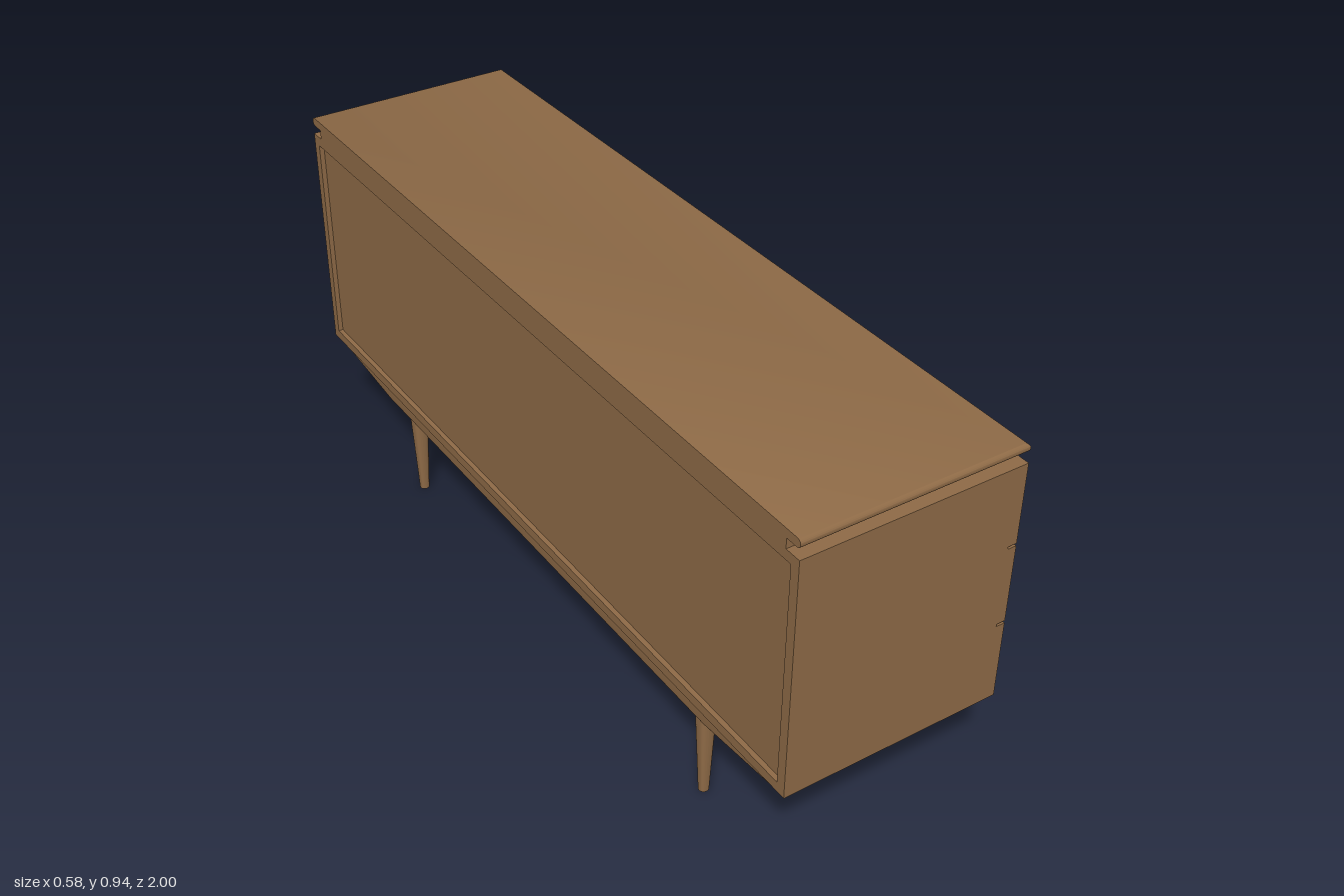
import * as THREE from 'three';
import { toCreasedNormals } from 'three/addons/utils/BufferGeometryUtils.js';

const BACK = -0.29, FRONT = 0.247, BOTTOM = 0.31, TOP = 0.9;

export function createModel() {
  const sideboard = new THREE.Group();
  sideboard.name = 'sideboard';

  const wood = new THREE.MeshStandardMaterial({ color: 0x8f6b47 });
  wood.name = 'walnut';
  const handleWood = new THREE.MeshStandardMaterial({ color: 0x94561f });
  handleWood.name = 'reddish handle wood';

  const add = (name, geometry, material = wood) => {
    const mesh = new THREE.Mesh(geometry, material);
    mesh.name = name;
    sideboard.add(mesh);
    return mesh;
  };
  // Box given by its limits on each axis
  const box = (name, x0, x1, y0, y1, z0, z1) =>
    add(name, new THREE.BoxGeometry(x1 - x0, y1 - y0, z1 - z0))
      .position.set((x0 + x1) / 2, (y0 + y1) / 2, (z0 + z1) / 2);
  const rect = (path, x0, x1, y0, y1) =>
    path.moveTo(x0, y0).lineTo(x1, y0).lineTo(x1, y1).lineTo(x0, y1).closePath();

  // Carcass with a recessed back panel inside a thin frame
  const recess = 0.012, frontThickness = 0.022;
  box('carcass', BACK + recess, FRONT - frontThickness, BOTTOM, TOP, -1, 1);
  const frame = rect(new THREE.Shape(), -1, 1, BOTTOM, TOP);
  frame.holes.push(rect(new THREE.Path(), -0.976, 0.976, BOTTOM + 0.024, TOP - 0.024));
  const frameGeometry = new THREE.ExtrudeGeometry(frame, { depth: recess, bevelEnabled: false });
  frameGeometry.rotateY(Math.PI / 2);
  add('backFrame', frameGeometry).position.x = BACK;

  // Drawer fronts and doors, separated by narrow gaps
  const gap = 0.003, split1 = 0.48, split2 = -0.258;
  const levels = [BOTTOM, 0.508, 0.705, TOP];
  for (let i = 0; i < 3; i++) {
    box('drawerFront', FRONT - frontThickness, FRONT,
      levels[i] + (i > 0 ? gap : 0), levels[i + 1] - (i < 2 ? gap : 0), split1 + gap, 1);
  }
  box('leftDoor', FRONT - frontThickness, FRONT, BOTTOM, TOP, split2 + gap, split1 - gap);
  box('rightDoor', FRONT - frontThickness, FRONT, BOTTOM, TOP, -1, split2 - gap);

  // Set-back riser below the floating top
  box('riser', BACK, 0.21, TOP, 0.926, -0.96, 0.96);

  // Top board: rounded on the front and ends, cut square at the back
  const r = 0.01;
  const slab = rect(new THREE.Shape(), BACK, FRONT - r, -1 + r, 1 - r);
  let top = new THREE.ExtrudeGeometry(slab, {
    depth: 0.001, bevelThickness: r, bevelSize: r, bevelSegments: 5,
  });
  top.rotateX(Math.PI / 2);
  const p = top.attributes.position;
  for (let i = 0; i < p.count; i++) p.setX(i, Math.max(p.getX(i), BACK));
  top.computeVertexNormals();
  add('topBoard', toCreasedNormals(top, 0.6)).position.y = 0.935;

  // Hollow cup pull: half-turned shell, open on its flat side
  const profile = [];
  const arc = (radius, from, to) => {
    for (let i = 0; i <= 10; i++) {
      const a = from + (to - from) * i / 10;
      profile.push(new THREE.Vector2(Math.max(0, radius * Math.cos(a)), radius * Math.sin(a)));
    }
  };
  arc(0.87, Math.PI / 2, 0);
  arc(1, 0, Math.PI / 2);
  let pull = new THREE.LatheGeometry(profile, 32, 0, Math.PI);
  pull.scale(0.043, 0.019, 0.091);
  pull.computeVertexNormals();
  pull = toCreasedNormals(pull, 0.9);
  for (const y of [0.473, 0.67, 0.867]) {
    add('drawerHandle', pull, handleWood).position.set(FRONT, y, 0.738);
  }
  for (const side of [1, -1]) {
    const handle = add('doorHandle', pull, handleWood);
    handle.position.set(FRONT, 0.766, split2 + side * 0.039);
    handle.rotation.x = side * Math.PI / 2;
  }

  // Under-rails: rounded lower edge, tapering up towards both ends
  const stations = [[-0.96, 0.286], [-0.71, 0.26], [0.71, 0.26], [0.96, 0.286]];
  const half = 0.0105, steps = 10;
  const vertices = [], index = [];
  const ringSize = steps + 3;
  for (const [z, low] of stations) {
    vertices.push(-half, BOTTOM, z);
    for (let i = 0; i <= steps; i++) {
      const a = Math.PI + Math.PI * i / steps;
      vertices.push(half * Math.cos(a), low + half + half * Math.sin(a), z);
    }
    vertices.push(half, BOTTOM, z);
  }
  for (let s = 0; s < stations.length - 1; s++) {
    for (let i = 0; i < ringSize; i++) {
      const j = (i + 1) % ringSize;
      const a = s * ringSize + i, b = s * ringSize + j;
      index.push(a, b, b + ringSize, a, b + ringSize, a + ringSize);
    }
  }
  const last = (stations.length - 1) * ringSize;
  for (let i = 1; i < ringSize - 1; i++) {
    index.push(0, i + 1, i, last, last + i, last + i + 1);
  }
  let rail = new THREE.BufferGeometry();
  rail.setAttribute('position', new THREE.Float32BufferAttribute(vertices, 3));
  rail.setIndex(index);
  rail.computeVertexNormals();
  rail = toCreasedNormals(rail, 0.6);
  add('rearRail', rail).position.x = -0.268;
  add('frontRail', rail).position.x = 0.213;

  // Turned, tapering legs
  const legGeometry = toCreasedNormals(new THREE.LatheGeometry([
    [0, 0], [0.012, 0], [0.0225, 0.225], [0.024, 0.27], [0.024, BOTTOM],
  ].map(([x, y]) => new THREE.Vector2(x, y)), 28), 0.6);
  for (const x of [-0.228, 0.173]) {
    for (const z of [-0.65, 0.65]) {
      add(x > 0 ? 'frontLeg' : 'rearLeg', legGeometry).position.set(x, 0, z);
    }
  }
  return sideboard;
}
